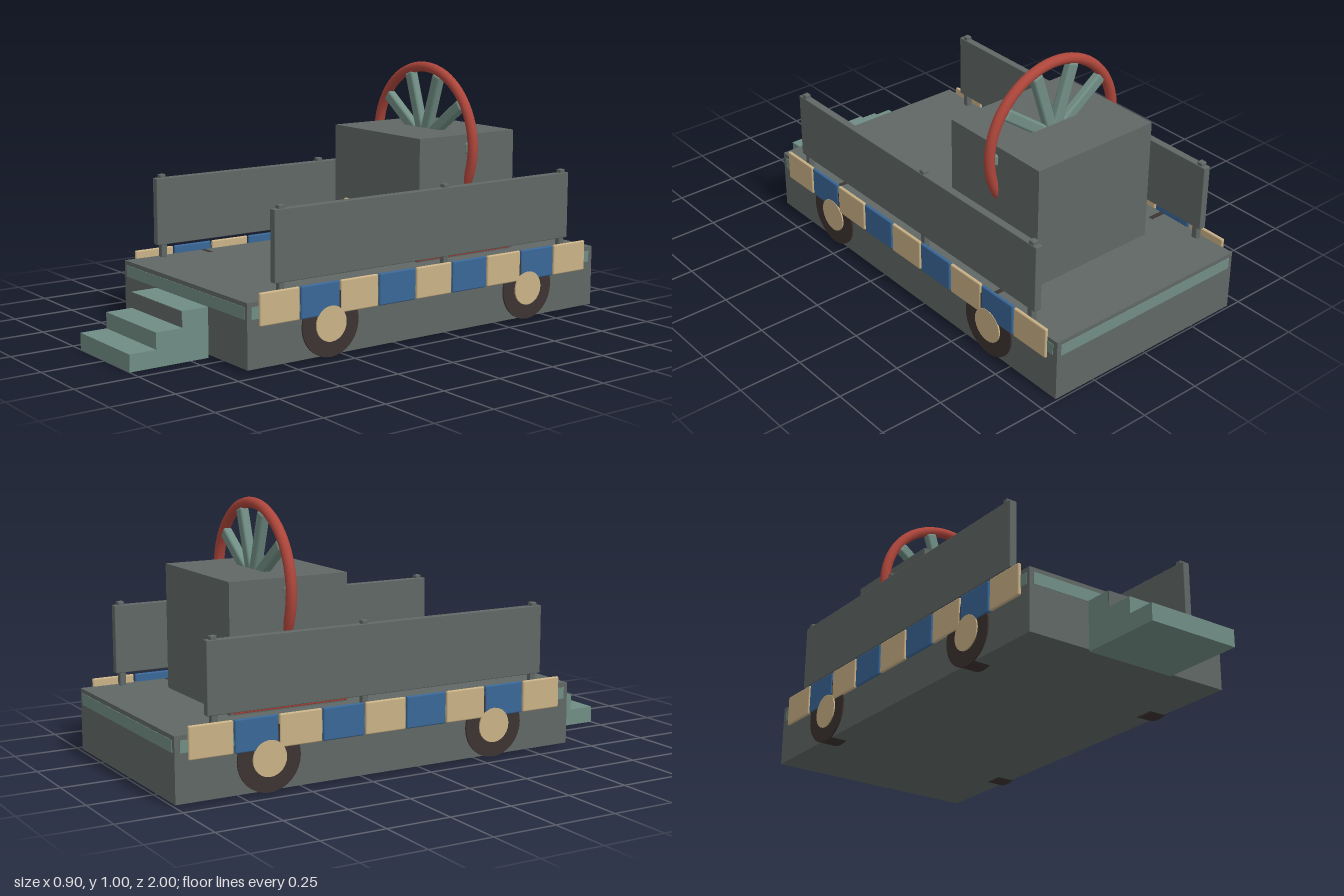
import * as THREE from 'three';
import { RoundedBoxGeometry } from 'three/addons/geometries/RoundedBoxGeometry.js';

function material(name, color) {
  const m = new THREE.MeshStandardMaterial({ color });
  m.name = name;
  return m;
}

export function createModel() {
  const gray = material('slate gray', 0x606765);
  const green = material('sage green', 0x708d84);
  const red = material('brick red', 0xae463b);
  const tan = material('tan', 0xcab287);
  const blue = material('blue', 0x3a6797);
  const dark = material('tyre brown', 0x3d3431);

  const root = new THREE.Group();
  root.name = 'paradeFloat';

  function add(name, geometry, mat, parent = root) {
    const mesh = new THREE.Mesh(geometry, mat);
    mesh.name = name;
    parent.add(mesh);
    return mesh;
  }

  // box given by its extents on each axis, optionally with rounded edges
  function box(name, [x0, x1], [y0, y1], [z0, z1], mat, radius = 0, parent = root) {
    const size = [x1 - x0, y1 - y0, z1 - z0];
    const geo = radius ? new RoundedBoxGeometry(...size, 2, radius) : new THREE.BoxGeometry(...size);
    const mesh = add(name, geo, mat, parent);
    mesh.position.set((x0 + x1) / 2, (y0 + y1) / 2, (z0 + z1) / 2);
    return mesh;
  }

  // platform with thin trim bands at both ends
  box('platform', [-0.437, 0.437], [0.01, 0.252], [-1, 0.672], gray);
  box('frontTrim', [-0.42, 0.42], [0.19, 0.235], [0.67, 0.674], green);
  box('backTrim', [-0.42, 0.42], [0.19, 0.235], [-1.0, -0.998], green).position.z = -1.001;

  // three solid steps, the top riser faced in gray
  for (let i = 0; i < 3; i++) {
    const front = 1 - i * 0.108;
    box('step', [-0.185, 0.185], [0, 0.065 + i * 0.0625], [front - 0.108, front], green);
  }
  box('topRiser', [-0.185, 0.185], [0.13, 0.189], [0.782, 0.786], gray);

  // everything repeated on the left and right sides
  for (const s of [1, -1]) {
    const span = (a, b) => (s > 0 ? [a, b] : [-b, -a]);
    const side = new THREE.Group();
    side.name = s > 0 ? 'leftSide' : 'rightSide';
    root.add(side);

    box('sideTrim', span(0.436, 0.439), [0.19, 0.235], [-0.98, 0.655], green, 0, side);

    // alternating skirt panels
    for (let i = 0; i < 9; i++) {
      const z = 0.539 - i * 0.1756;
      box('skirtPanel', span(0.433, 0.447), [0.161, 0.283], [z - 0.085, z + 0.085],
        i % 2 ? blue : tan, 0.006, side);
    }

    // wheels with flat hubs
    for (const z of [0.317, -0.641]) {
      const tyre = add('tyre', new THREE.CylinderGeometry(0.125, 0.125, 0.073, 32), dark, side);
      tyre.rotation.z = Math.PI / 2;
      tyre.position.set(s * 0.407, 0.128, z);
      const hub = add('hub', new THREE.CylinderGeometry(0.067, 0.067, 0.03, 24), tan, side);
      hub.rotation.z = Math.PI / 2;
      hub.position.set(s * 0.434, 0.128, z);
    }

    // side wall on posts
    box('wall', span(0.396, 0.426), [0.302, 0.567], [-0.869, 0.547], gray, 0.003, side);
    for (const z of [0.515, -0.238, -0.84]) {
      box('post', span(0.399, 0.424), [0.25, 0.581], [z - 0.0125, z + 0.0125], gray, 0.004, side);
    }
  }

  // cabin with a red base and a name board
  box('cabin', [-0.273, 0.273], [0.252, 0.735], [-0.707, -0.227], gray);
  box('cabinBase', [-0.275, 0.275], [0.252, 0.406], [-0.704, -0.222], red, 0.01);
  box('board', [-0.203, 0.203], [0.357, 0.441], [-0.232, -0.216], tan, 0.004);

  // big spoked wheel standing through the cabin
  const bigWheel = new THREE.Group();
  bigWheel.name = 'bigWheel';
  bigWheel.position.set(0, 0.68, -0.472);
  root.add(bigWheel);
  add('rim', new THREE.TorusGeometry(0.299, 0.0205, 12, 64), red, bigWheel);
  for (let i = 0; i < 10; i++) {
    const angle = i * Math.PI / 5;
    const spoke = add('spoke', new RoundedBoxGeometry(0.285, 0.046, 0.036, 2, 0.01), green, bigWheel);
    spoke.position.set(Math.cos(angle) * 0.1425, Math.sin(angle) * 0.1425, 0);
    spoke.rotation.z = angle;
  }

  return root;
}
